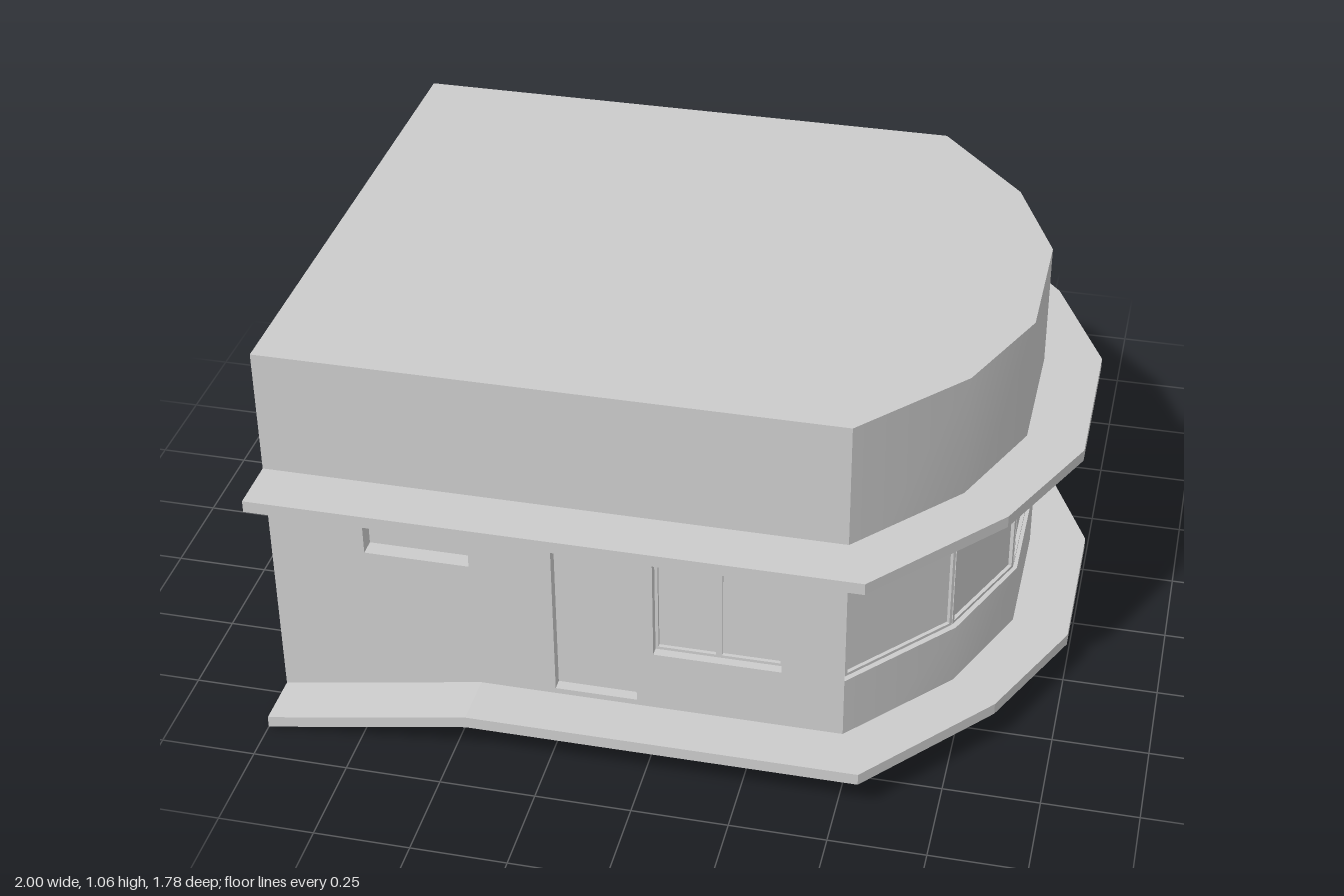
import * as THREE from 'three';

const grey = new THREE.MeshStandardMaterial({ color: 0xcccccc, side: THREE.DoubleSide });

// Plan outlines as [x, z], running from the front round the bow to the back
const mirror = half => [...half, ...[...half].reverse().map(([x, z]) => [x, -z])];
const BOW = mirror([[0.49, 0.745], [0.73, 0.47], [0.85, 0.185]]);
const GLASS = mirror([[0.48, 0.72], [0.71, 0.455], [0.83, 0.178]]);
const LEDGE_IN = mirror([[-1, 0.745], [-0.46, 0.745], [0.49, 0.745], [0.73, 0.47], [0.85, 0.185]]);
const LEDGE_OUT = mirror([[-1, 0.89], [-0.46, 0.89], [0.555, 0.89], [0.85, 0.545], [1, 0.22]]);
const TOP = 1.06, SILL = 0.3, HEAD = 0.593, WALL_Z = 0.745;

const at = (plan, y) => plan.map(([x, z], i) => [x, typeof y === 'function' ? y(i) : y, z]);

function add(parent, name, geometry) {
  const mesh = new THREE.Mesh(geometry, grey);
  mesh.name = name;
  parent.add(mesh);
  return mesh;
}

// Ruled surface between two paths with the same number of points
function ruled(a, b, smooth = false) {
  const n = a.length, index = [];
  for (let i = 0; i < n - 1; i++) index.push(i, i + 1, n + i + 1, i, n + i + 1, n + i);
  let g = new THREE.BufferGeometry();
  g.setAttribute('position', new THREE.Float32BufferAttribute([...a, ...b].flat(), 3));
  g.setIndex(index);
  if (!smooth) g = g.toNonIndexed();
  g.computeVertexNormals();
  return g;
}

function rect(path, x0, y0, x1, y1) {
  path.moveTo(x0, y0);
  path.lineTo(x1, y0);
  path.lineTo(x1, y1);
  path.lineTo(x0, y1);
  path.closePath();
  return path;
}

// Thin rectangular frame centred on the origin, facing +z
function frameGeometry(w, h, t = 0.008, depth = 0.01) {
  const s = rect(new THREE.Shape(), -w / 2, -h / 2, w / 2, h / 2);
  s.holes.push(rect(new THREE.Path(), -w / 2 + t, -h / 2 + t, w / 2 - t, h / 2 - t));
  return new THREE.ExtrudeGeometry(s, { depth, bevelEnabled: false });
}

// Recess behind an opening in the front wall, closed by a panel
function recess(parent, name, [x0, y0, x1, y1], depth) {
  const loop = z => [[x0, y0, z], [x1, y0, z], [x1, y1, z], [x0, y1, z], [x0, y0, z]];
  add(parent, name + 'Reveal', ruled(loop(WALL_Z), loop(WALL_Z - depth)));
  add(parent, name + 'Panel', new THREE.PlaneGeometry(x1 - x0, y1 - y0))
    .position.set((x0 + x1) / 2, (y0 + y1) / 2, WALL_Z - depth);
}

// Projecting ledge; y gives the underside height at each plan point
function ledge(parent, name, y, thick) {
  const g = new THREE.Group();
  g.name = name;
  parent.add(g);
  const up = i => y(i) + thick;
  const inLow = at(LEDGE_IN, y), inHigh = at(LEDGE_IN, up);
  const outLow = at(LEDGE_OUT, y), outHigh = at(LEDGE_OUT, up);
  add(g, 'ledgeEdge', ruled(outLow, outHigh));
  add(g, 'ledgeTop', ruled(outHigh, inHigh));
  add(g, 'ledgeUnderside', ruled(inLow, outLow));
  const e = LEDGE_IN.length - 1;
  add(g, 'ledgeEndFront', ruled([inLow[0], outLow[0]], [inHigh[0], outHigh[0]]));
  add(g, 'ledgeEndBack', ruled([outLow[e], inLow[e]], [outHigh[e], inHigh[e]]));
}

export function createModel() {
  const model = new THREE.Group();
  model.name = 'building';

  // Front wall with its openings
  const openings = {
    smallWindow: { box: [-0.75, 0.5, -0.475, 0.597], depth: 0.045 },
    door: { box: [-0.26, 0.145, -0.045, 0.597], depth: 0.03 },
    doubleWindow: { box: [0, 0.3, 0.33, 0.597], depth: 0.035 },
  };
  const front = rect(new THREE.Shape(), -1, 0, 0.49, TOP);
  for (const [name, { box, depth }] of Object.entries(openings)) {
    front.holes.push(rect(new THREE.Path(), ...box));
    recess(model, name, box, depth);
  }
  add(model, 'frontWall', new THREE.ShapeGeometry(front)).position.z = WALL_Z;

  // Two casements in the front window
  for (const x of [0.0825, 0.2475]) {
    add(model, 'casement', frameGeometry(0.165, 0.297)).position.set(x, 0.4485, WALL_Z - 0.035);
  }

  // Plain back and end walls, open underneath
  const b = y => [[0.49, y, -WALL_Z], [-1, y, -WALL_Z], [-1, y, WALL_Z]];
  add(model, 'backAndEndWalls', ruled(b(0), b(TOP)));

  // Flat roof
  const outline = [[-1, WALL_Z], ...BOW, [-1, -WALL_Z]];
  const roof = new THREE.ShapeGeometry(new THREE.Shape(outline.map(([x, z]) => new THREE.Vector2(x, -z))));
  add(model, 'roof', roof.rotateX(-Math.PI / 2)).position.y = TOP;

  // Bowed end: wall below and above the window band
  add(model, 'bowLowerWall', ruled(at(BOW, 0), at(BOW, SILL), true));
  add(model, 'bowUpperWall', ruled(at(BOW, HEAD), at(BOW, TOP), true));
  add(model, 'bowSill', ruled(at(BOW, SILL), at(GLASS, SILL)));
  add(model, 'bowHead', ruled(at(GLASS, HEAD), at(BOW, HEAD)));
  add(model, 'bowGlass', ruled(at(GLASS, SILL), at(GLASS, HEAD)));
  for (const [p, q] of [[BOW[0], GLASS[0]], [GLASS[5], BOW[5]]]) {
    add(model, 'bowJamb', ruled(at([p, q], SILL), at([p, q], HEAD)));
  }

  // One frame per facet of the bow window
  for (let i = 0; i < GLASS.length - 1; i++) {
    const [x0, z0] = GLASS[i], [x1, z1] = GLASS[i + 1];
    const f = add(model, 'bowFrame', frameGeometry(Math.hypot(x1 - x0, z1 - z0), HEAD - SILL));
    f.position.set((x0 + x1) / 2, (SILL + HEAD) / 2, (z0 + z1) / 2);
    f.rotation.y = Math.atan2(z0 - z1, x1 - x0);
  }

  // Canopy, and the walkway that ramps down to the ground at the straight end
  const last = LEDGE_IN.length - 1;
  ledge(model, 'canopy', () => 0.69, 0.032);
  ledge(model, 'walkway', i => (i === 0 || i === last ? 0 : 0.097), 0.032);

  return model;
}
